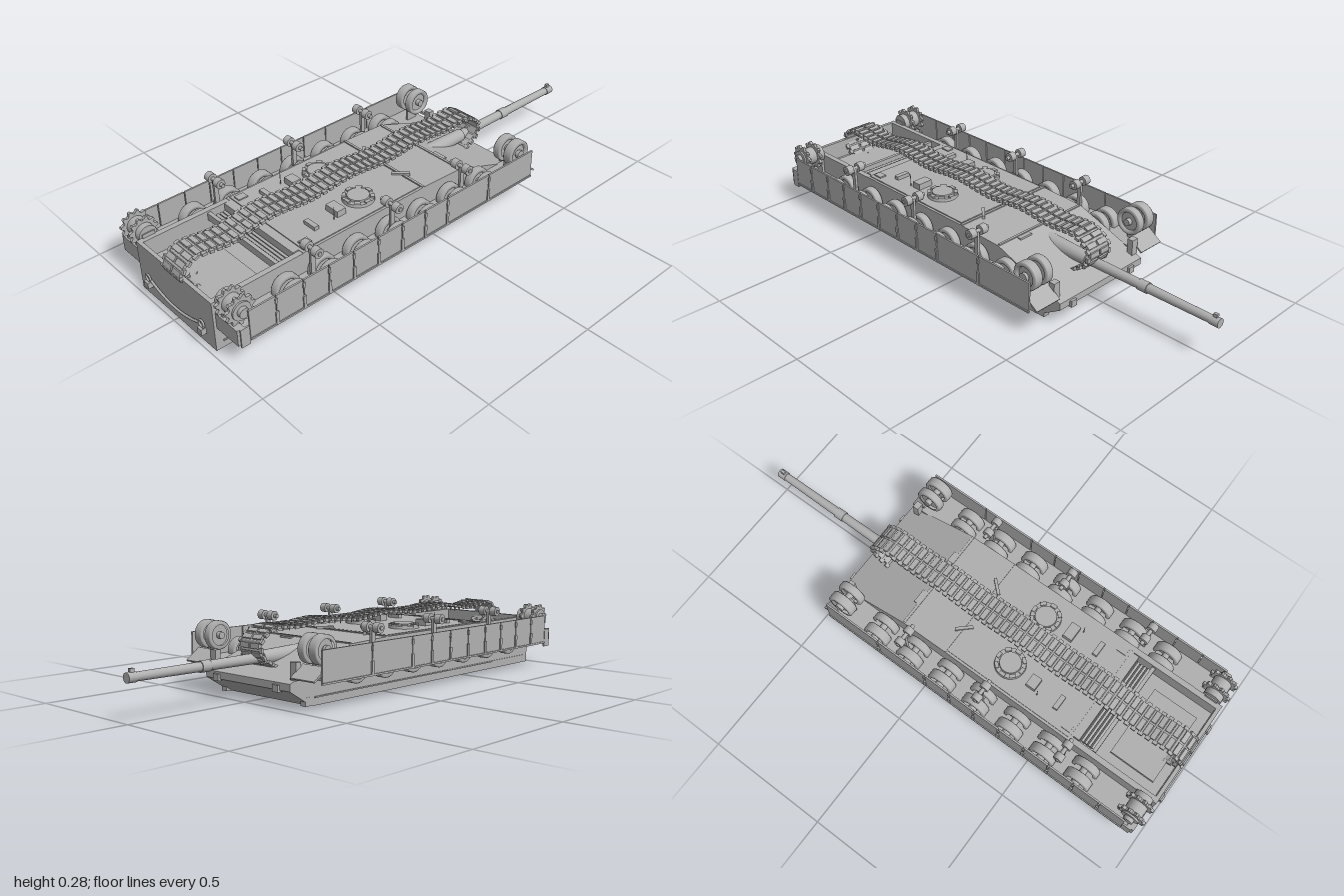
import * as THREE from 'three';

export function createModel() {
  const model = new THREE.Group();
  const grey = new THREE.MeshStandardMaterial({ color: 0xb0b0b0 });
  grey.name = 'plain grey';

  const add = (name, geo, x = 0, y = 0, z = 0, parent = model) => {
    const m = new THREE.Mesh(geo, grey);
    m.name = name;
    m.position.set(x, y, z);
    parent.add(m);
    return m;
  };
  // box given by its extents
  const box = (name, x0, x1, y0, y1, z0, z1, parent) =>
    add(name, new THREE.BoxGeometry(x1 - x0, y1 - y0, Math.abs(z1 - z0)),
      (x0 + x1) / 2, (y0 + y1) / 2, (z0 + z1) / 2, parent);
  // cylinder lying along z, or along x
  const discZ = (name, r, w, x, y, z, n = 28, parent) =>
    add(name, new THREE.CylinderGeometry(r, r, w, n).rotateX(Math.PI / 2), x, y, z, parent);
  const rodX = (name, r0, r1, x0, x1, y, z) =>
    add(name, new THREE.CylinderGeometry(r1, r0, x1 - x0, 24).rotateZ(-Math.PI / 2), (x0 + x1) / 2, y, z);
  const shapeOf = pts => new THREE.Shape(pts.map(p => new THREE.Vector2(...p)));
  const extrudeZ = (name, pts, z0, z1) =>
    add(name, new THREE.ExtrudeGeometry(shapeOf(pts), { depth: z1 - z0, bevelEnabled: false }), 0, 0, z0);

  // hull with sloped nose and open engine bay
  extrudeZ('hull', [[-0.98, 0], [0.385, 0], [0.49, 0.065], [0.49, 0.092], [0.18, 0.2], [-0.02, 0.207],
    [-0.6, 0.207], [-0.6, 0.13], [-0.965, 0.13], [-0.965, 0.205], [-0.98, 0.205]], -0.225, 0.225);

  // engine bay fittings
  box('bayCrossBar', -0.625, -0.6, 0.13, 0.207, -0.2, 0.2);
  box('bayCrossBar', -0.7, -0.685, 0.17, 0.2, -0.2, 0.2);
  for (let i = 0; i < 4; i++) {
    const slat = box('grilleSlat', -0.68 + i * 0.015, -0.67 + i * 0.015, 0.16, 0.185, -0.19, 0.19);
    slat.rotation.z = 0.5;
  }
  box('engineCover', -0.93, -0.74, 0.13, 0.145, -0.15, 0.15);

  // deck plates and seams
  box('roofPlate', -0.59, -0.03, 0.207, 0.211, -0.215, 0.215);
  box('frontDeckRib', -0.025, -0.015, 0.2, 0.211, -0.225, 0.225);
  box('frontDeckRib', 0.172, 0.182, 0.195, 0.204, -0.22, 0.22);

  // gun
  rodX('gunSleeve', 0.034, 0.026, 0.16, 0.42, 0.153, 0);
  rodX('gunBarrel', 0.02, 0.0155, 0.4, 0.99, 0.153, 0);
  rodX('barrelCollar', 0.021, 0.021, 0.66, 0.7, 0.153, 0);
  rodX('muzzle', 0.018, 0.018, 0.965, 1, 0.153, 0);
  box('muzzleSight', 0.972, 0.988, 0.165, 0.183, -0.006, 0.006);

  // spare track belt running over the deck
  const belt = new THREE.Group();
  belt.name = 'deckTrack';
  model.add(belt);
  const path = new THREE.CatmullRomCurve3([[-0.88, 0.125], [-0.95, 0.16], [-0.975, 0.205], [-0.93, 0.255],
    [-0.77, 0.247], [-0.6, 0.27], [-0.415, 0.257], [-0.23, 0.271], [-0.05, 0.257], [0.13, 0.27], [0.27, 0.258],
    [0.4, 0.26], [0.463, 0.215], [0.455, 0.165], [0.4, 0.125]].map(p => new THREE.Vector3(p[0], p[1], 0)));
  const padGeo = new THREE.BoxGeometry(0.02, 0.013, 0.046);
  const webGeo = new THREE.BoxGeometry(0.031, 0.005, 0.1);
  const pinGeo = new THREE.CylinderGeometry(0.0045, 0.0045, 0.122, 8).rotateX(Math.PI / 2);
  const endGeo = new THREE.BoxGeometry(0.019, 0.011, 0.012);
  const toothGeo = new THREE.ConeGeometry(0.008, 0.02, 4).rotateX(Math.PI);
  const links = Math.round(path.getLength() / 0.031);
  for (let i = 0; i < links; i++) {
    const u = (i + 0.5) / links, p = path.getPointAt(u), t = path.getTangentAt(u);
    const link = new THREE.Group();
    link.name = 'trackLink';
    link.position.copy(p);
    link.rotation.z = Math.atan2(t.y, t.x);
    belt.add(link);
    add('linkWeb', webGeo, 0, 0, 0, link);
    add('guideTooth', toothGeo, 0, -0.012, 0, link);
    add('linkPin', pinGeo, 0.0155, 0, 0, link);
    for (const s of [-1, 1]) {
      add('linkPad', padGeo, 0, 0.002, s * 0.027, link);
      add('endConnector', endGeo, 0.0155, 0, s * 0.056, link);
    }
  }

  // toothed outline for the drive sprocket
  const teeth = [];
  for (let i = 0; i < 44; i++) {
    const a = (i + 0.5) / 44 * Math.PI * 2, r = i % 4 < 2 ? 0.058 : 0.047;
    teeth.push([Math.cos(a) * r, Math.sin(a) * r]);
  }
  const sprocketGeo = new THREE.ExtrudeGeometry(shapeOf(teeth), { depth: 0.012, bevelEnabled: false }).translate(0, 0, -0.006);

  // paired wheel: rims, dished faces, hub and axle
  const pairedWheel = (name, x, y, r, s) => {
    const g = new THREE.Group();
    g.name = name;
    g.position.set(x, y, 0);
    model.add(g);
    for (const z of [0.25, 0.305]) {
      const w = z < 0.3 ? 0.016 : 0.019;
      const tyre = new THREE.LatheGeometry([[r * 0.72, -w], [r * 0.94, -w], [r, -w + 0.004], [r, w - 0.004],
        [r * 0.94, w], [r * 0.72, w], [r * 0.66, w * 0.4]].map(q => new THREE.Vector2(...q)), 32).rotateX(Math.PI / 2);
      add('tyre', tyre, 0, 0, s * z, g);
      discZ('wheelFace', r * 0.74, w * 0.9, 0, 0, s * z, 28, g);
    }
    discZ('axle', r * 0.25, 0.1, 0, 0, s * 0.275, 16, g);
    discZ('hubCap', r * 0.32, 0.012, 0, 0, s * 0.325, 16, g);
  };

  for (const s of [-1, 1]) {
    const side = (name, x0, x1, y0, y1, z0, z1) => box(name, x0, x1, y0, y1, s * z0, s * z1);

    // bay walls and hull side rail
    side('bayWall', -0.98, -0.6, 0.13, 0.205, 0.203, 0.225);
    side('hullRail', -0.95, 0.37, 0.028, 0.033, 0.224, 0.229);

    // fender shelf, front flap and rear end
    side('fenderShelf', -0.96, 0.45, 0.112, 0.122, 0.22, 0.347);
    const flap = side('frontFlap', 0.42, 0.495, 0.13, 0.137, 0.226, 0.342);
    flap.rotation.z = -0.6;
    side('rearFender', -0.97, -0.94, 0.095, 0.16, 0.226, 0.345);

    // wheels
    for (let i = 0; i < 7; i++) pairedWheel('roadWheel', -0.7 + i * 0.158, 0.13, 0.055, s);
    pairedWheel('idlerWheel', 0.41, 0.212, 0.055, s);
    for (const x of [-0.605, -0.235, 0.125]) {
      for (const z of [0.253, 0.307]) discZ('returnRoller', 0.019, 0.027, x, 0.261, s * z, 20);
      discZ('rollerAxle', 0.008, 0.1, x, 0.261, s * 0.275, 12);
      side('rollerPost', x - 0.009, x + 0.009, 0.12, 0.262, 0.274, 0.285);
    }
    // drive sprocket
    for (const z of [0.257, 0.312]) add('sprocketRing', sprocketGeo, -0.93, 0.208, s * z);
    discZ('sprocketDrum', 0.036, 0.1, -0.93, 0.208, s * 0.275, 24);
    discZ('sprocketHub', 0.02, 0.02, -0.93, 0.208, s * 0.33, 16);
    side('sprocketMount', -0.955, -0.905, 0.12, 0.22, 0.22, 0.236);
    side('idlerMount', 0.38, 0.43, 0.12, 0.22, 0.272, 0.282);

    // skirt panels with straps
    const cuts = [-0.925, -0.815, -0.7, -0.59, -0.48, -0.365, -0.25, -0.135, -0.02, 0.205, 0.46];
    for (let i = 0; i < cuts.length - 1; i++) {
      side('skirtPanel', cuts[i] + 0.002, cuts[i + 1] - 0.002, 0.1, 0.22, 0.343, 0.35);
      if (i) side('skirtStrap', cuts[i] - 0.006, cuts[i] + 0.006, 0.105, 0.155, 0.349, 0.355);
      if (i) side('skirtHinge', cuts[i] - 0.005, cuts[i] + 0.005, 0.19, 0.21, 0.349, 0.354);
    }
    side('skirtRail', -0.925, 0.46, 0.1, 0.107, 0.349, 0.354);
    side('skirtTail', -0.96, -0.925, 0.085, 0.16, 0.343, 0.35);

    // hatches with rings and vision blocks
    const hatch = new THREE.Group();
    hatch.name = 'hatch';
    hatch.position.set(-0.25, 0.21, s * 0.115);
    model.add(hatch);
    add('hatchRing', new THREE.CylinderGeometry(0.06, 0.062, 0.012, 28), 0, 0.006, 0, hatch);
    add('hatchLid', new THREE.CylinderGeometry(0.042, 0.044, 0.012, 24), 0, 0.014, 0, hatch);
    for (let i = 0; i < 8; i++) {
      const a = i * Math.PI / 4;
      const b = add('visionBlock', new THREE.BoxGeometry(0.014, 0.012, 0.024),
        Math.cos(a) * 0.053, 0.012, Math.sin(a) * 0.053, hatch);
      b.rotation.y = -a;
    }
    // roof fittings
    side('roofBox', -0.495, -0.475, 0.209, 0.226, 0.1, 0.16);
    side('roofBox', -0.385, -0.345, 0.209, 0.236, s > 0 ? 0.09 : 0.1, s > 0 ? 0.155 : 0.15);
    const scope = side('periscopeGuard', -0.06, 0.01, 0.205, 0.218, 0.1, 0.112);
    scope.rotation.y = s * -0.75;
    add('antenna', new THREE.CylinderGeometry(0.0012, 0.002, 0.055, 6), -0.4, 0.236, s * 0.154);
    side('lampBlock', 0.16, 0.2, 0.182, 0.2, 0.07, 0.13);
    side('deckLatch', -0.58, -0.54, 0.21, 0.216, 0.17, 0.2);

    // nose and tail hooks
    side('noseHook', 0.475, 0.5, 0.058, 0.084, 0.146, 0.174);
    side('noseFoot', 0.385, 0.415, 0.002, 0.034, 0.2, 0.226);
    side('tailHook', -1, -0.975, 0.045, 0.07, 0.15, 0.175);
    const eye = add('tailEye', new THREE.TorusGeometry(0.014, 0.004, 8, 18), -0.988, 0.085, s * 0.162);
    eye.rotation.y = Math.PI / 2;
    side('glacisBracket', 0.44, 0.465, 0.1, 0.165, 0.2, 0.23);
  }

  // tow cable on the tail plate
  const cable = new THREE.QuadraticBezierCurve3(new THREE.Vector3(-0.986, 0.08, -0.15),
    new THREE.Vector3(-0.99, 0.02, 0), new THREE.Vector3(-0.986, 0.08, 0.15));
  add('towCable', new THREE.TubeGeometry(cable, 24, 0.005, 8));

  return model;
}
